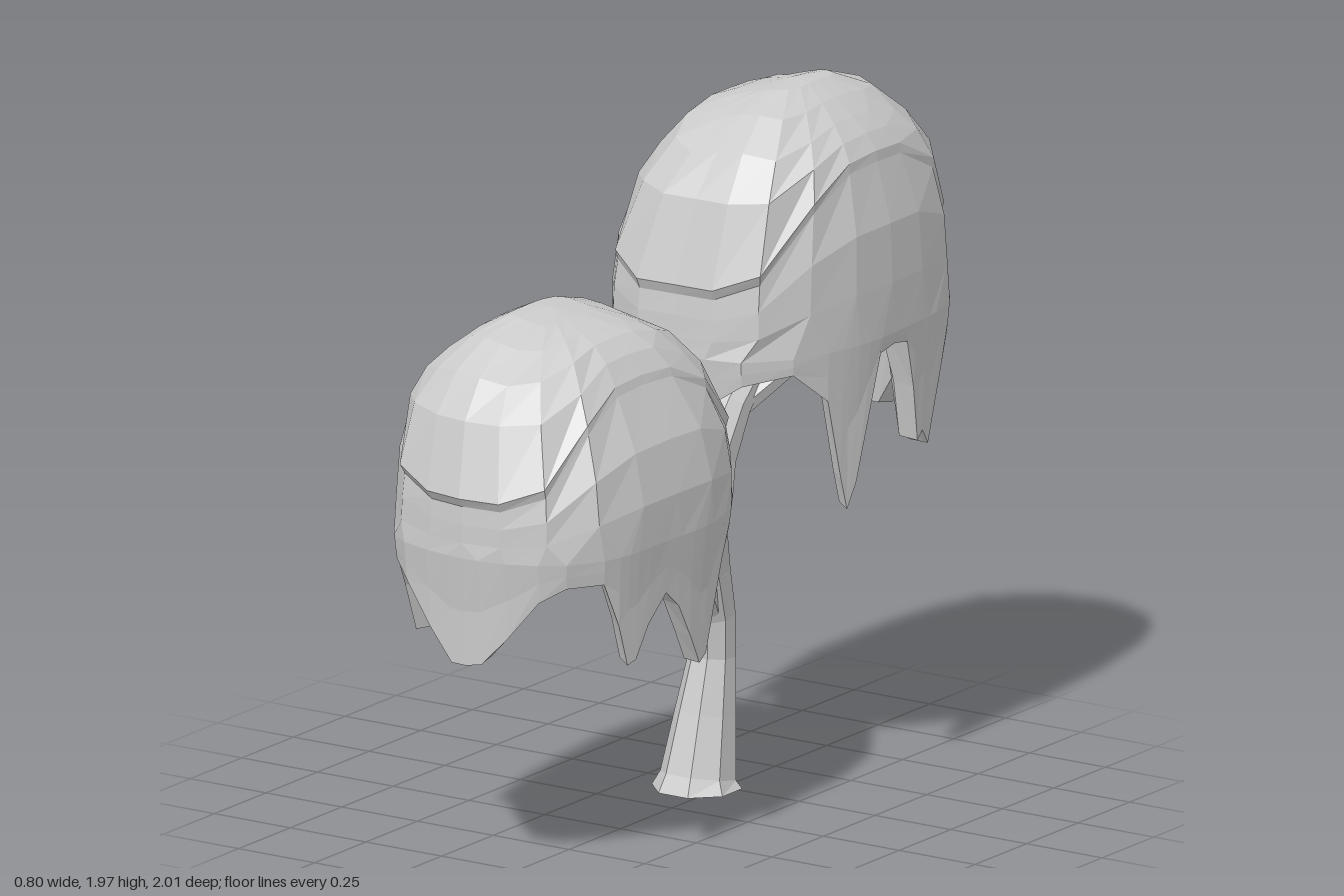
import * as THREE from 'three';

const bark = new THREE.MeshStandardMaterial({ color: 0xcccccc, flatShading: true });
const leaf = new THREE.MeshStandardMaterial({ color: 0xcccccc, flatShading: true, side: THREE.DoubleSide });
const RAD = Math.PI / 180;

// Joins rings of equal length (counter-clockwise seen from their end) into a faceted skin.
function loft(rings, capped) {
  const n = rings[0].length, pos = [], idx = [];
  const same = (a, b) => [0, 1, 2].every(k => Math.abs(pos[a * 3 + k] - pos[b * 3 + k]) < 1e-6);
  const face = (a, b, c) => {
    if (!same(a, b) && !same(b, c) && !same(c, a)) idx.push(a, b, c);
  };
  rings.forEach(r => r.forEach(p => pos.push(p.x, p.y, p.z)));
  for (let i = 0; i < rings.length - 1; i++) {
    for (let j = 0; j < n; j++) {
      const a = i * n + j, b = i * n + (j + 1) % n;
      face(a, b, b + n);
      face(a, b + n, a + n);
    }
  }
  if (capped) {
    const last = (rings.length - 1) * n;
    for (let j = 1; j < n - 1; j++) idx.push(0, j + 1, j, last, last + j, last + j + 1);
  }
  const indexed = new THREE.BufferGeometry();
  indexed.setAttribute('position', new THREE.Float32BufferAttribute(pos, 3));
  indexed.setIndex(idx);
  const geometry = indexed.toNonIndexed();
  geometry.computeVertexNormals();
  return geometry;
}

// Limb through points [x, y, z, radius]; every ring is square to the path.
function limb(name, points, sides = 8) {
  const P = points.map(p => new THREE.Vector3(p[0], p[1], p[2]));
  const rings = P.map((c, i) => {
    const t = P[Math.min(i + 1, P.length - 1)].clone().sub(P[Math.max(i - 1, 0)]).normalize();
    if (i === 0 && c.y === 0) t.set(0, 1, 0);
    const n = t.clone().cross(new THREE.Vector3(1, 0, 0)).normalize();
    const u = n.clone().cross(t);
    return Array.from({ length: sides }, (_, j) => {
      const a = (j + 0.5) / sides * Math.PI * 2, r = points[i][3];
      return c.clone().addScaledVector(u, r * Math.cos(a)).addScaledVector(n, r * Math.sin(a));
    });
  });
  const mesh = new THREE.Mesh(loft(rings, true), bark);
  mesh.name = name;
  return mesh;
}

// Hanging hem: angle from the front towards +x, and height of the edge there.
const HEM = [
  [0, .63], [8, .64], [20, .72], [33, .83], [43, .87], [56, .87], [62, .74], [66, .62], [70, .63],
  [76, .72], [85, .79], [92, .74], [99, .64], [105, .55], [109, .57], [119, .82], [128, .88],
  [138, .88], [150, .87], [165, .83], [180, .81], [195, .82], [210, .88], [228, .90], [241, .82],
  [247, .62], [250, .54], [254, .60], [259, .74], [265, .90], [273, .91], [281, .90], [286, .78],
  [290, .64], [293, .66], [297, .62], [303, .76], [310, .86], [317, .87], [327, .83], [340, .72], [352, .63],
];

// Hollow drooping crown: shallow ceiling, thick hem, outer wall, then an overhanging cap.
function crownGeometry() {
  const MID = 1.05, RISE = 0.47, POWER = 2.2, SECTOR = 18;
  const lerp = THREE.MathUtils.lerp;
  const radiusAt = y => y > MID
    ? (1 - ((y - MID) / RISE) ** POWER) ** (1 / POWER)
    : 1 - 0.12 * (MID - y);
  const heightAt = r => MID + RISE * (1 - r ** POWER) ** (1 / POWER);
  const seam = a => 1.11 + 0.27 * THREE.MathUtils.smoothstep(Math.abs(Math.sin(a)), 0.45, 1);

  // Each row gives [radius factor, height] for an angle and a hem height
  const rows = [];
  for (const [r, y] of [[0, 1.14], [.45, 1.11], [.68, 1.03], [.76, .94]]) rows.push(() => [r, y]);
  rows.push((a, h) => [0.78, lerp(0.93, h, 0.5)]);
  rows.push((a, h) => [0.82, h + 0.01]);
  rows.push((a, h) => [radiusAt(h) - 0.01, h]);
  rows.push((a, h) => [radiusAt(h), lerp(0.94, h, 0.5)]);
  rows.push(() => [radiusAt(0.94), 0.94]);

  // Above the hem the facets widen to even sectors
  const firstWide = rows.length;
  for (const f of [.7, .35, 0]) {
    rows.push(a => {
      const y = lerp(seam(a) - 0.025, 0.94, f);
      return [radiusAt(y) - 0.03 * (1 - f), y];
    });
  }
  for (const f of [1, .87, .7, .48, .24, 0]) {
    rows.push(a => {
      const r = radiusAt(seam(a)) * f;
      return [r, heightAt(r)];
    });
  }

  const rings = rows.map((row, k) => HEM.map(([deg, h]) => {
    const wide = k >= firstWide;
    const a = (wide ? Math.round(deg / SECTOR) * SECTOR : deg) * RAD;
    const s = Math.sin(a), c = Math.cos(a);
    const square = (Math.abs(s) ** 2.8 + Math.abs(c) ** 2.8) ** (-1 / 2.8);
    const [f, y] = row(a, h);
    const lump = 1 + 0.012 * Math.sin(7 * a + 1) + 0.006 * Math.sin(3 * a + k * 0.6);
    const r = f * square * lump;
    const x = r * s * 0.378 - 0.05 * Math.max(0, y - 1.1) / 0.4;
    const wave = y > 1.4 ? 0.01 * Math.sin(x * 22 + 3.7) : 0;
    return new THREE.Vector3(x, y + wave, r * c * 0.513);
  }));
  return loft(rings, false);
}

export function createModel() {
  const tree = new THREE.Group();
  tree.name = 'tree';

  // Trunk with flared foot, continuing as the rear branch
  tree.add(limb('trunk', [
    [-.065, 0, -.217, .126], [-.065, .03, -.222, .106], [-.065, .2, -.258, .086], [-.06, .36, -.283, .066],
    [-.055, .48, -.275, .066], [-.05, .62, -.225, .076], [-.04, .74, -.175, .088], [-.03, .86, -.183, .092],
    [-.02, .95, -.22, .072], [0, 1.08, -.29, .056], [.01, 1.2, -.42, .042], [.02, 1.36, -.5, .025],
  ]));
  tree.add(limb('frontBranch', [
    [-.05, .5, -.25, .05], [-.045, .64, -.165, .072], [-.04, .72, -.06, .062], [-.04, .757, .02, .051],
    [-.035, .785, .1, .042], [-.03, .83, .2, .038], [-.02, .93, .34, .032], [-.02, 1.16, .44, .022],
  ]));

  // Twigs reaching into the crowns, mirrored left and right
  for (const side of [-1, 1]) {
    tree.add(limb('frontTwig', [
      [-.035, .785, .09, .036], [-.03 + side * .07, .85, .18, .032], [-.03 + side * .14, .94, .26, .026], [-.03 + side * .18, 1.1, .32, .018],
    ], 6));
    tree.add(limb('rearTwig', [
      [0, 1.06, -.3, .036], [side * .07, 1.15, -.42, .032], [side * .13, 1.24, -.52, .026], [side * .17, 1.42, -.58, .018],
    ], 6));
  }

  // The rear crown is the same shape turned round and taller
  const geometry = crownGeometry();
  const front = new THREE.Mesh(geometry, leaf);
  front.name = 'frontCrown';
  front.position.set(-.02, 0, .485);
  const rear = new THREE.Mesh(geometry, leaf);
  rear.name = 'rearCrown';
  rear.position.set(.02, .205, -.485);
  rear.scale.y = 1.16;
  rear.rotation.y = Math.PI;
  tree.add(front, rear);
  return tree;
}
